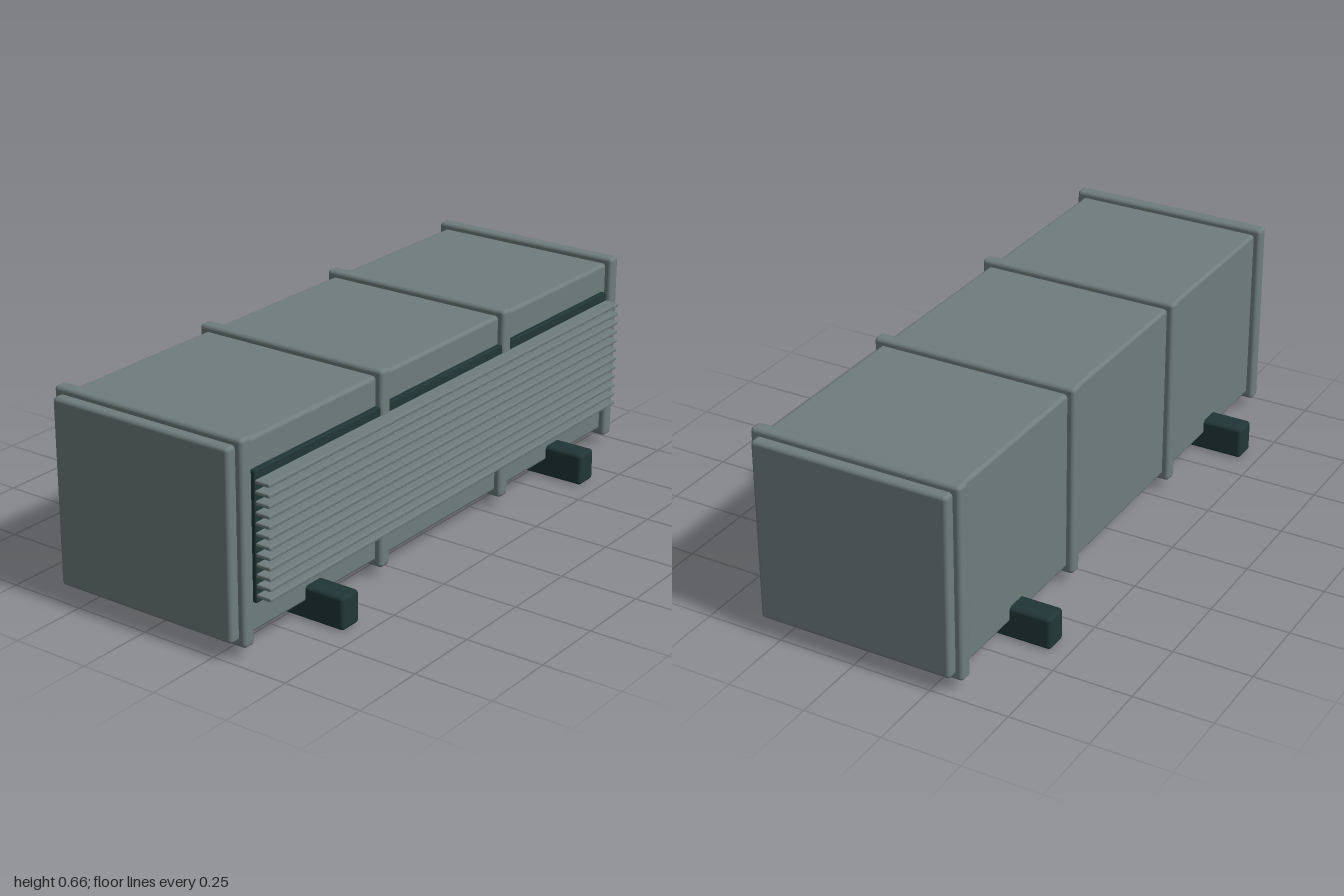
import * as THREE from 'three';
import { RoundedBoxGeometry } from 'three/addons/geometries/RoundedBoxGeometry.js';

export function createModel() {
  const model = new THREE.Group();
  model.name = 'ventilationUnit';

  const grey = new THREE.MeshStandardMaterial({ color: 0x6f7c7d });
  grey.name = 'greyPaint';
  const dark = new THREE.MeshStandardMaterial({ color: 0x213637 });
  dark.name = 'darkMetal';

  // Rounded block given by its size and centre
  function block(name, material, size, centre, radius) {
    const mesh = new THREE.Mesh(new RoundedBoxGeometry(...size, 3, radius), material);
    mesh.name = name;
    mesh.position.set(...centre);
    model.add(mesh);
  }

  const midY = 0.345;

  // Main housing
  block('housing', grey, [2, 0.58, 0.63], [0, midY, 0], 0.012);

  // Reinforcing bands around the housing
  for (const x of [-0.945, -0.315, 0.315, 0.945]) {
    block('band', grey, [0.045, 0.62, 0.674], [x, midY, 0], 0.012);
  }

  // Dark recess behind the louvres
  block('grillePanel', dark, [1.815, 0.395, 0.04], [0, 0.3475, 0.311], 0.004);

  // Louvre slats
  const slats = 12;
  for (let i = 0; i < slats; i++) {
    const y = 0.173 + (i * 0.34) / (slats - 1);
    block('slat', grey, [1.815, 0.012, 0.05], [0, y, 0.355], 0.004);
  }

  // Skids under the housing
  for (const x of [-0.632, 0.632]) {
    block('skid', dark, [0.078, 0.105, 0.895], [x, 0.0525, 0], 0.012);
  }

  return model;
}
